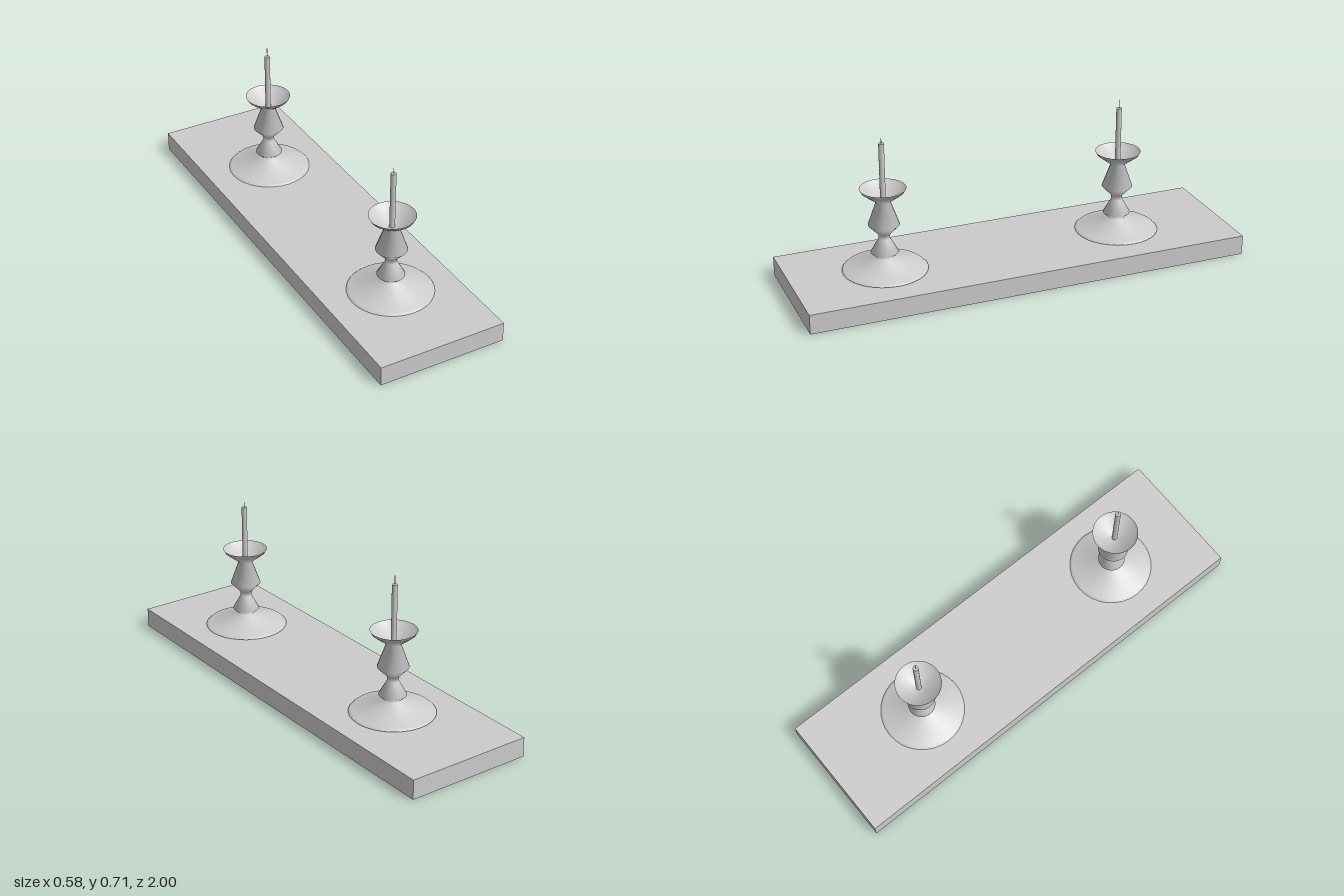
import * as THREE from 'three';

const material = new THREE.MeshStandardMaterial({ color: 0xcccccc, side: THREE.DoubleSide });

function addMesh(parent, name, geometry, y = 0) {
  const mesh = new THREE.Mesh(geometry, material);
  mesh.name = name;
  mesh.position.y = y;
  parent.add(mesh);
}

const lathe = (points) =>
  new THREE.LatheGeometry(points.map(([r, y]) => new THREE.Vector2(r, y)), 32);

function createCandlestick(name, wickTop) {
  const stick = new THREE.Group();
  stick.name = name;

  // Underside, turned stem and hollow dish are separate so their rims stay crisp
  addMesh(stick, 'footUnderside', lathe([[0, 0.092], [0.186, 0.092]]));
  addMesh(stick, 'turnedStem', lathe([
    [0.186, 0.092], [0.175, 0.102], [0.033, 0.145], [0.06, 0.172],
    [0.025, 0.235], [0.025, 0.255], [0.068, 0.3], [0.031, 0.405],
    [0.091, 0.451], [0.1, 0.467],
  ]));
  addMesh(stick, 'dripDish', lathe([[0.1, 0.467], [0.088, 0.453], [0.03, 0.41], [0, 0.41]]));

  // Candle and wick
  const candleTop = 0.668;
  const candleHeight = candleTop - 0.41;
  addMesh(stick, 'candle',
    new THREE.CylinderGeometry(0.012, 0.012, candleHeight, 16), candleTop - candleHeight / 2);
  const wickHeight = wickTop - candleTop;
  addMesh(stick, 'wick',
    new THREE.CylinderGeometry(0.0015, 0.0015, wickHeight, 8), candleTop + wickHeight / 2);
  return stick;
}

export function createModel() {
  const model = new THREE.Group();
  model.name = 'candlesticksOnBoard';

  addMesh(model, 'board', new THREE.BoxGeometry(0.58, 0.088, 2), 0.044);

  // Front and back candlesticks
  const front = createCandlestick('frontCandlestick', 0.692);
  front.position.set(0.003, 0, 0.583);
  const back = createCandlestick('backCandlestick', 0.708);
  back.position.set(0.003, 0, -0.508);
  model.add(front, back);
  return model;
}
